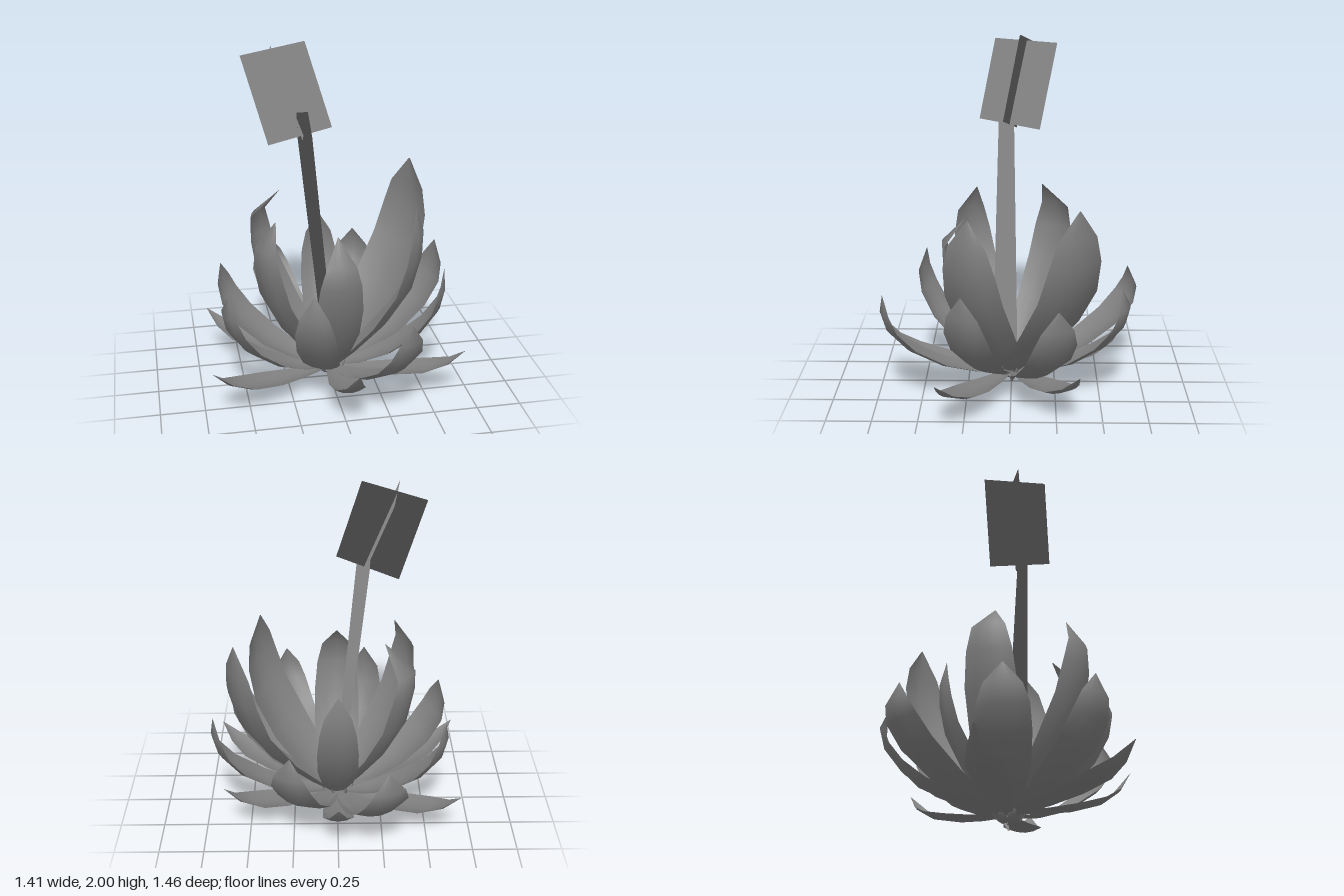
import * as THREE from 'three';

const material = new THREE.MeshStandardMaterial({ color: 0x808080, side: THREE.DoubleSide });

// Leaf profiles: [share of reach (null = tip radius), share of height, share of half width]
const PROFILES = {
  inner: [[0.07, 0.07, 0.25], [0.34, 0.2, 0.8], [0.65, 0.37, 1], [0.9, 0.57, 1], [0.99, 0.74, 0.88], [1, 0.87, 0.65], [null, 1, 0.02]],
  middle: [[0.05, 0.12, 0.25], [0.3, 0.18, 0.6], [0.57, 0.3, 0.9], [0.82, 0.49, 1], [0.96, 0.68, 0.95], [1, 0.84, 0.7], [null, 1, 0.02]],
  outer: [[0.05, 0.25, 0.3], [0.28, 0.29, 0.65], [0.52, 0.37, 0.95], [0.74, 0.5, 0.95], [0.89, 0.7, 0.55], [null, 1, 0.02]],
};

// Each leaf: angle, reach, height, half width, tip radius, optional base height
const LEAVES = {
  inner: [
    [90, 0.39, 1.0, 0.13, 0.26], [27, 0.53, 1.12, 0.18, 0.49], [-33, 0.665, 1.21, 0.19, 0.65],
    [-90, 0.39, 0.9, 0.115, 0.36], [-146, 0.47, 1.13, 0.14, 0.31], [148, 0.485, 1.09, 0.135, 0.39],
  ],
  middle: [
    [66, 0.77, 0.66, 0.11, 0.76], [23, 0.66, 0.76, 0.13, 0.65], [-20, 0.74, 0.72, 0.13, 0.73],
    [-67, 0.7, 0.68, 0.125, 0.66], [-111, 0.77, 0.63, 0.13, 0.73], [-157, 0.66, 0.67, 0.14, 0.65],
    [158, 0.67, 0.68, 0.135, 0.65], [109, 0.56, 0.77, 0.115, 0.52],
  ],
  outer: [
    [88, 0.73, 0.41, 0.09, 0.73], [29, 0.8, 0.31, 0.1, 0.8], [-30, 0.73, 0.33, 0.1, 0.73],
    [-90, 0.65, 0.38, 0.09, 0.65], [-148, 0.8, 0.3, 0.1, 0.8], [151, 0.81, 0.31, 0.1, 0.81],
  ],
};

// Grid geometry from rows of points
function gridGeometry(rows) {
  const cols = rows[0].length;
  const index = [];
  for (let i = 0; i < rows.length - 1; i++) {
    for (let j = 0; j < cols - 1; j++) {
      const a = i * cols + j, b = a + cols;
      index.push(a, b, a + 1, a + 1, b, b + 1);
    }
  }
  const geometry = new THREE.BufferGeometry();
  geometry.setAttribute('position', new THREE.Float32BufferAttribute(rows.flat(2), 3));
  geometry.setIndex(index);
  geometry.computeVertexNormals();
  return geometry;
}

// Foliage card: two sheets a hair apart, facing outwards, both shaded as if facing up
function card(name, rows) {
  const group = new THREE.Group();
  group.name = name;
  for (const sheet of [rows, rows.map((row) => [...row].reverse())]) {
    const geometry = gridGeometry(sheet);
    const { position, normal } = geometry.attributes;
    for (let i = 0; i < position.count; i++) {
      const p = new THREE.Vector3().fromBufferAttribute(position, i);
      p.addScaledVector(new THREE.Vector3().fromBufferAttribute(normal, i), 0.001);
      position.setXYZ(i, p.x, p.y, p.z);
      normal.setXYZ(i, 0, 1, 0);
    }
    const mesh = new THREE.Mesh(geometry, material);
    mesh.name = `${name}Side`;
    group.add(mesh);
  }
  return group;
}

// Cupped leaf growing from the centre; angle is measured from +x towards +z
function leaf(type, [angle, reach, height, half, tip, baseY], name = `${type}Leaf`) {
  const line = PROFILES[type].map(([r, y, w]) => [r === null ? tip : r * reach, y * height, w * half]);
  if (baseY !== undefined) line[0][1] = baseY;
  const a = THREE.MathUtils.degToRad(angle), c = Math.cos(a), s = Math.sin(a);
  const rows = line.map(([r, y, w], i) => {
    const p = line[Math.max(i - 1, 0)], n = line[Math.min(i + 1, line.length - 1)];
    const dr = n[0] - p[0], dy = n[1] - p[1], len = Math.hypot(dr, dy);
    return [-1, -0.5, 0, 0.5, 1].map((t) => {
      const lift = 0.27 * w * t * t;
      const radius = r - (dy / len) * lift;
      return [c * radius - s * w * t, y + (dr / len) * lift, s * radius + c * w * t];
    });
  });
  const mesh = new THREE.Mesh(gridGeometry(rows), material);
  mesh.name = name;
  return mesh;
}

export function createModel() {
  const model = new THREE.Group();
  model.name = 'succulent';

  // Upright inner, spreading middle and low outer rings of leaves
  for (const [type, list] of Object.entries(LEAVES)) {
    const ring = new THREE.Group();
    ring.name = `${type}Leaves`;
    list.forEach((spec) => ring.add(leaf(type, spec)));
    model.add(ring);
  }

  // Small pointed scales at the base; the first reaches down to the ground
  const scales = new THREE.Group();
  scales.name = 'baseScales';
  for (let i = 0; i < 7; i++) {
    const baseY = i === 0 ? 0.005 : 0.06;
    scales.add(leaf('outer', [-20 + i * 360 / 7, 0.1, 0.14, 0.025, 0.1, baseY], 'baseScale'));
  }
  model.add(scales);

  // Thin flower stalk, a slightly twisted ribbon: x, y, z, half width in x and in z
  const stalk = [
    [-0.155, 1.64, 0.045, 0.027, 0.02], [-0.14, 1.5, 0.03, 0.033, 0.042],
    [-0.05, 0.6, 0.035, 0.024, 0.062], [0, 0.09, 0.035, 0.022, 0.07],
  ];
  model.add(card('flowerStalk', stalk.map(([x, y, z, wx, wz]) =>
    [[x - wx, y - wx * 0.2, z - wz], [x + wx, y + wx * 0.2, z + wz]])));

  // Flower head: two crossed cards
  const flower = new THREE.Group();
  flower.name = 'flowerHead';
  flower.add(
    card('flowerCard', [
      [[-0.33, 1.955, 0.095], [-0.28, 1.935, -0.25]],
      [[-0.175, 1.53, 0.18], [-0.115, 1.48, -0.155]],
    ]),
    card('flowerCard', [
      [[-0.46, 1.92, -0.115], [-0.125, 2.0, -0.045]],
      [[-0.33, 1.445, -0.025], [0.005, 1.55, 0.045]],
    ]),
  );
  model.add(flower);
  return model;
}
